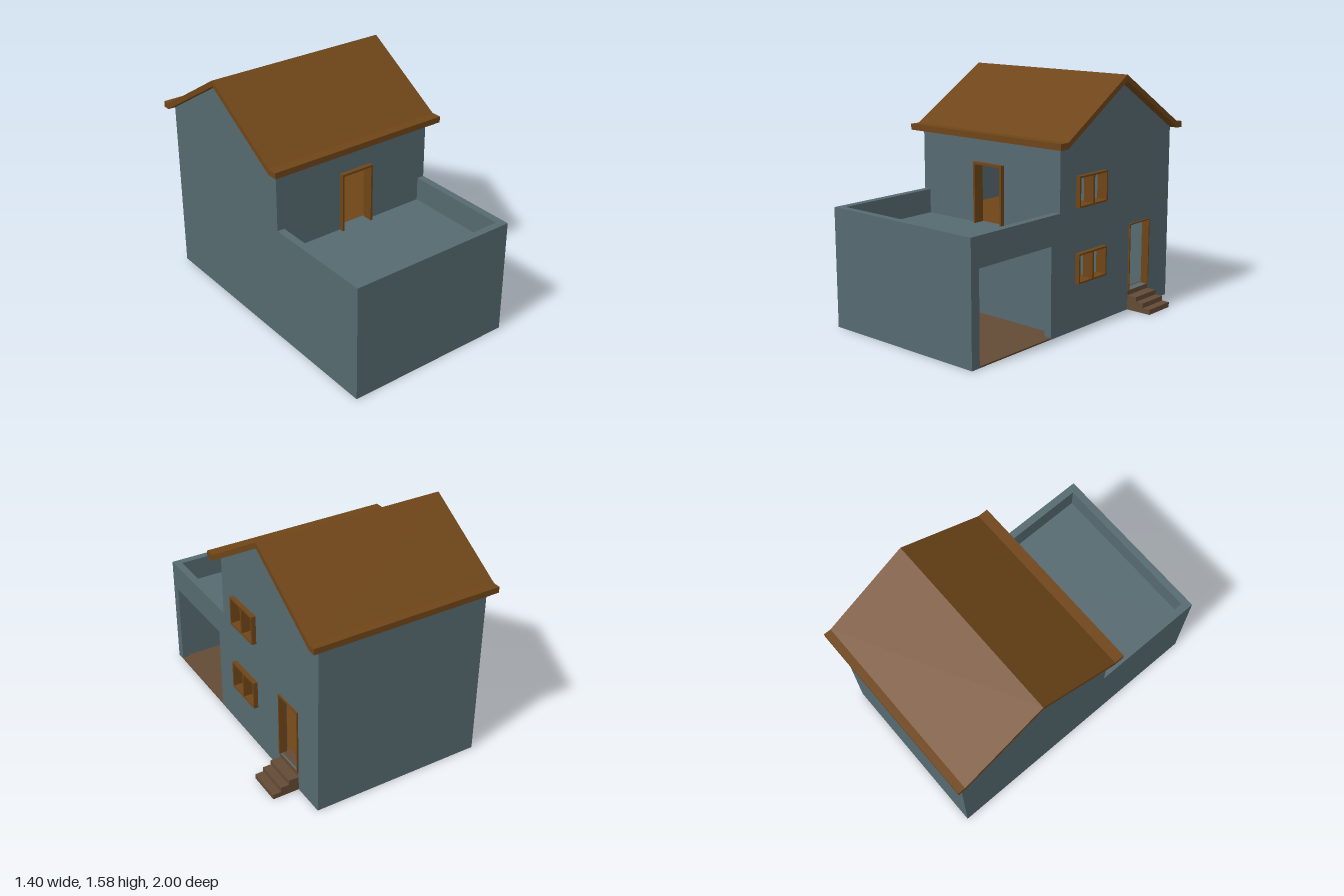
import * as THREE from 'three';

const mat = (color) => new THREE.MeshStandardMaterial({ color, flatShading: true, side: THREE.DoubleSide });

export function createModel() {
  const house = new THREE.Group();
  house.name = 'house';
  const wall = mat(0x566a70), wood = mat(0x6f4518), stone = mat(0x634a35);

  function add(name, geometry, material) {
    const mesh = new THREE.Mesh(geometry, material);
    mesh.name = name;
    house.add(mesh);
    return mesh;
  }

  // Box given by its limits on each axis
  function box(name, x0, x1, y0, y1, z0, z1, material) {
    const g = new THREE.BoxGeometry(x1 - x0, y1 - y0, z1 - z0);
    g.translate((x0 + x1) / 2, (y0 + y1) / 2, (z0 + z1) / 2);
    return add(name, g, material);
  }

  const rect = (a0, a1, b0, b1) => [[a0, b0], [a1, b0], [a1, b1], [a0, b1]];

  function extrude(points, holes, depth) {
    const vec = (list) => list.map(([a, b]) => new THREE.Vector2(a, b));
    const shape = new THREE.Shape(vec(points));
    holes.forEach((h) => shape.holes.push(new THREE.Path(vec(h))));
    return new THREE.ExtrudeGeometry(shape, { depth, bevelEnabled: false });
  }

  // Outline in (z, y), extruded from x0 to x1
  function sideways(points, holes, x0, x1) {
    const flip = (list) => list.map(([z, y]) => [-z, y]);
    const g = extrude(flip(points), holes.map(flip), x1 - x0);
    return g.rotateY(Math.PI / 2).translate(x0, 0, 0);
  }

  // Side walls: gabled house joined to the lower garage
  const upper = [[1, 0.78], [0.22, 0.78], [0.22, 1.18], [-0.365, 1.54], [-0.95, 1.18]];
  const windows = [[0.305, 0.5], [0.79, 0.99]];
  const openings = windows.map(([y0, y1]) => rect(-0.215, 0.06, y0 + 0.005, y1 - 0.005));
  openings.push(rect(-0.718, -0.502, 0.13, 0.58));
  add('rightWall', sideways(
    [[-0.95, 0], [0.3, 0], [0.3, 0.59], [0.935, 0.59], [0.935, 0], [1, 0], ...upper],
    openings, 0.47, 0.52), wall);
  add('leftWall', sideways([[-0.95, 0], [1, 0], ...upper], [], -0.65, -0.6), wall);

  // Cross walls
  box('backWall', -0.6, 0.47, 0, 1.18, -0.95, -0.9, wall);
  box('garageFrontWall', -0.6, 0.47, 0, 0.78, 0.95, 1, wall);
  add('houseFrontWall', extrude(rect(-0.6, 0.47, 0, 1.18),
    [rect(-0.165, 0.055, 0.62, 1.01)], 0.05).translate(0, 0, 0.17), wall);

  // Floors, with a stairwell gap along the back of the upper one
  box('groundFloor', -0.6, 0.47, 0, 0.02, -0.9, 0.17, wood);
  box('garageFloor', -0.6, 0.519, 0, 0.01, 0.22, 0.95, stone);
  box('upperFloor', -0.6, 0.47, 0.59, 0.62, -0.74, 0.17, wood);
  box('upperLanding', 0.2, 0.47, 0.59, 0.62, -0.9, -0.74, wood);
  box('terraceFloor', -0.6, 0.47, 0.59, 0.62, 0.22, 0.95, wall);

  // Roof with flat eaves
  add('roof', sideways([
    [0.29, 1.22], [0.22, 1.22], [-0.365, 1.58], [-0.95, 1.22], [-1, 1.22],
    [-1, 1.18], [-0.95, 1.18], [-0.365, 1.54], [0.22, 1.18], [0.29, 1.18],
  ], [], -0.7, 0.58), wood);

  // Windows: frame and centre bar
  for (const [y0, y1] of windows) {
    const b = 0.012;
    add('windowFrame', sideways(rect(-0.22, 0.065, y0, y1), [
      rect(-0.22 + b, -0.086, y0 + b, y1 - b),
      rect(-0.07, 0.065 - b, y0 + b, y1 - b),
    ], 0.475, 0.55), wood);
  }

  // Door frames, open at the bottom
  const doorway = (a0, a1, y0, y1, b) => [
    [a0, y0], [a0 + b, y0], [a0 + b, y1 - b], [a1 - b, y1 - b],
    [a1 - b, y0], [a1, y0], [a1, y1], [a0, y1],
  ];
  add('sideDoorFrame', sideways(doorway(-0.723, -0.497, 0.13, 0.587, 0.009), [], 0.475, 0.53), wood);
  add('terraceDoorFrame', extrude(doorway(-0.175, 0.065, 0.62, 1.02, 0.014), [], 0.075)
    .translate(0, 0, 0.175), wood);

  // Entrance steps
  [[0.7, 0.034], [0.645, 0.066], [0.59, 0.098], [0.521, 0.13]].forEach(([x, y], i) => {
    box('entranceStep', 0.45, x, i * 0.032, y, -0.725, -0.498, stone);
  });

  // Indoor staircase along the back wall
  for (let i = 0; i < 12; i++) {
    const x = -0.58 + i * 0.065, y = (i + 1) * 0.05;
    box('indoorStep', x, x + 0.065, Math.max(0.005, y - 0.1), y, -0.9, -0.75, stone);
  }
  return house;
}
